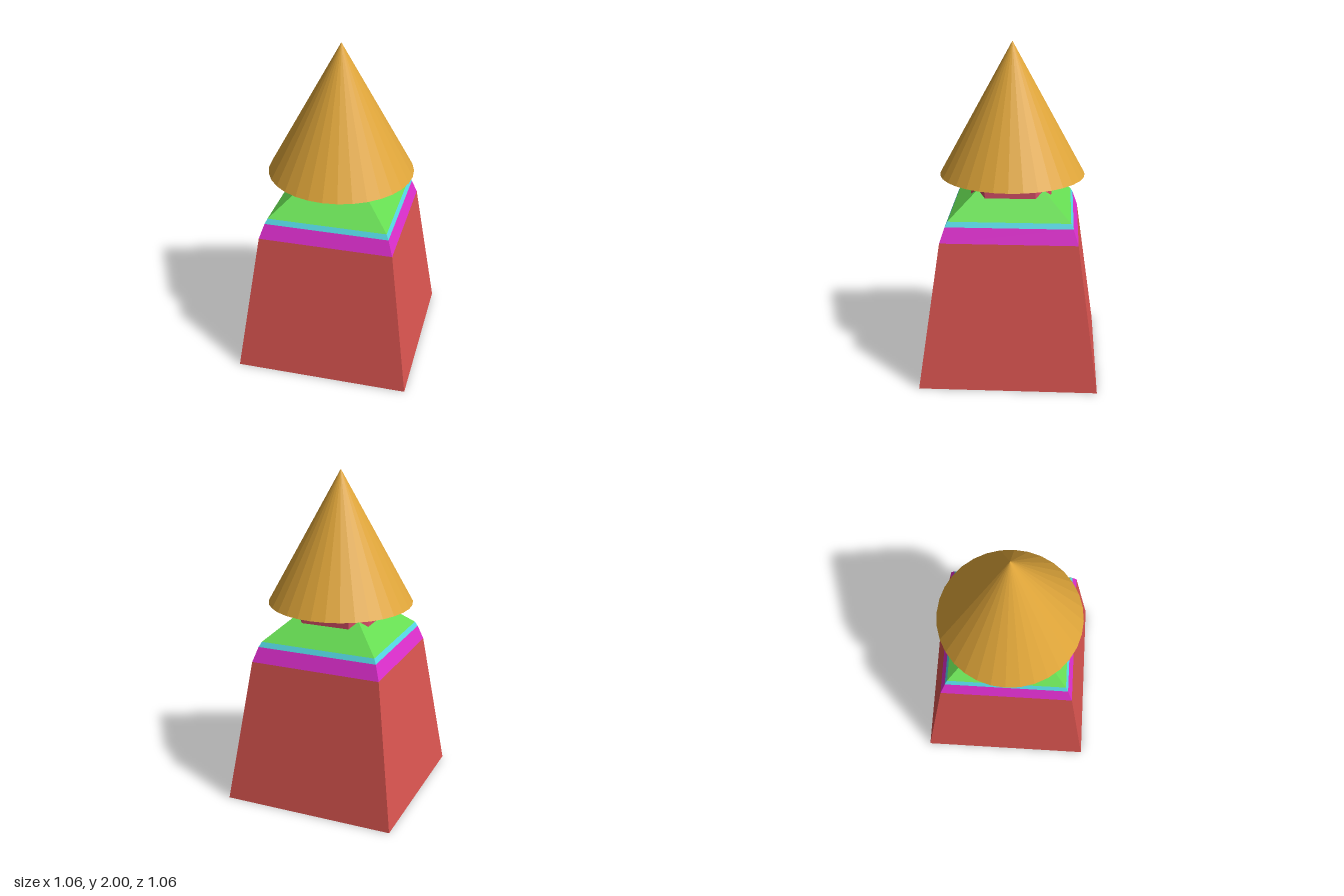
import * as THREE from 'three';

const material = (color, flatShading = true) =>
  new THREE.MeshStandardMaterial({ color, flatShading, side: THREE.DoubleSide });

function addMesh(parent, name, geometry, mat) {
  const mesh = new THREE.Mesh(geometry, mat);
  mesh.name = name;
  parent.add(mesh);
  return mesh;
}

// Open four-sided band between two square outlines, given as half widths
function squareBand(half0, y0, half1, y1) {
  const g = new THREE.CylinderGeometry(half1 * Math.SQRT2, half0 * Math.SQRT2, y1 - y0, 4, 1, true);
  return g.rotateY(Math.PI / 4).translate(0, (y0 + y1) / 2, 0);
}

export function createModel() {
  const model = new THREE.Group();
  model.name = 'tower';

  // Hollow tapering body and the stepped bands above it
  const bands = [
    ['body', 0.53, 0, 0.405, 0.88, 0xdb5550],
    ['shoulderBand', 0.405, 0.88, 0.375, 0.97, 0xe02fd0],
    ['trimBand', 0.375, 0.97, 0.36, 1.0, 0x55d8e4],
    ['lowerRoof', 0.36, 1.0, 0, 1.325, 0x66dc52],
  ];
  for (const [name, h0, y0, h1, y1, color] of bands)
    addMesh(model, name, squareBand(h0, y0, h1, y1), material(color));

  // Square turret with cut corners
  const a = 0.24, b = 0.15, bottom = 1.105, top = 1.4;
  const outline = new THREE.Shape(
    [[a, -b], [a, b], [b, a], [-b, a], [-a, b], [-a, -b], [-b, -a], [b, -a]]
      .map(([x, y]) => new THREE.Vector2(x, y)));
  const turret = new THREE.ExtrudeGeometry(outline, { depth: top - bottom, bevelEnabled: false });
  turret.rotateX(-Math.PI / 2).translate(0, bottom, 0);
  addMesh(model, 'turret', turret, material(0xd84f68));

  // Oval window on each broad side of the turret
  const windowGeometry = new THREE.SphereGeometry(1, 24, 16).scale(0.1, 0.048, 0.02);
  const windowMaterial = material(0x30c42c, false);
  for (let i = 0; i < 4; i++) {
    const angle = i * Math.PI / 2;
    const pane = addMesh(model, 'window' + (i + 1), windowGeometry, windowMaterial);
    pane.position.set(a * Math.sin(angle), 1.25, a * Math.cos(angle));
    pane.rotation.y = angle;
  }

  // Conical roof, open underneath
  const cone = new THREE.ConeGeometry(0.44, 0.8, 32, 1, true).translate(0, 1.6, 0);
  addMesh(model, 'coneRoof', cone, material(0xe0a63a));

  // Tapered core hanging inside the body
  const core = new THREE.CylinderGeometry(0.15, 0.27, 0.5, 32).translate(0, 0.28, 0);
  addMesh(model, 'core', core, material(0x4a2be0));

  return model;
}
